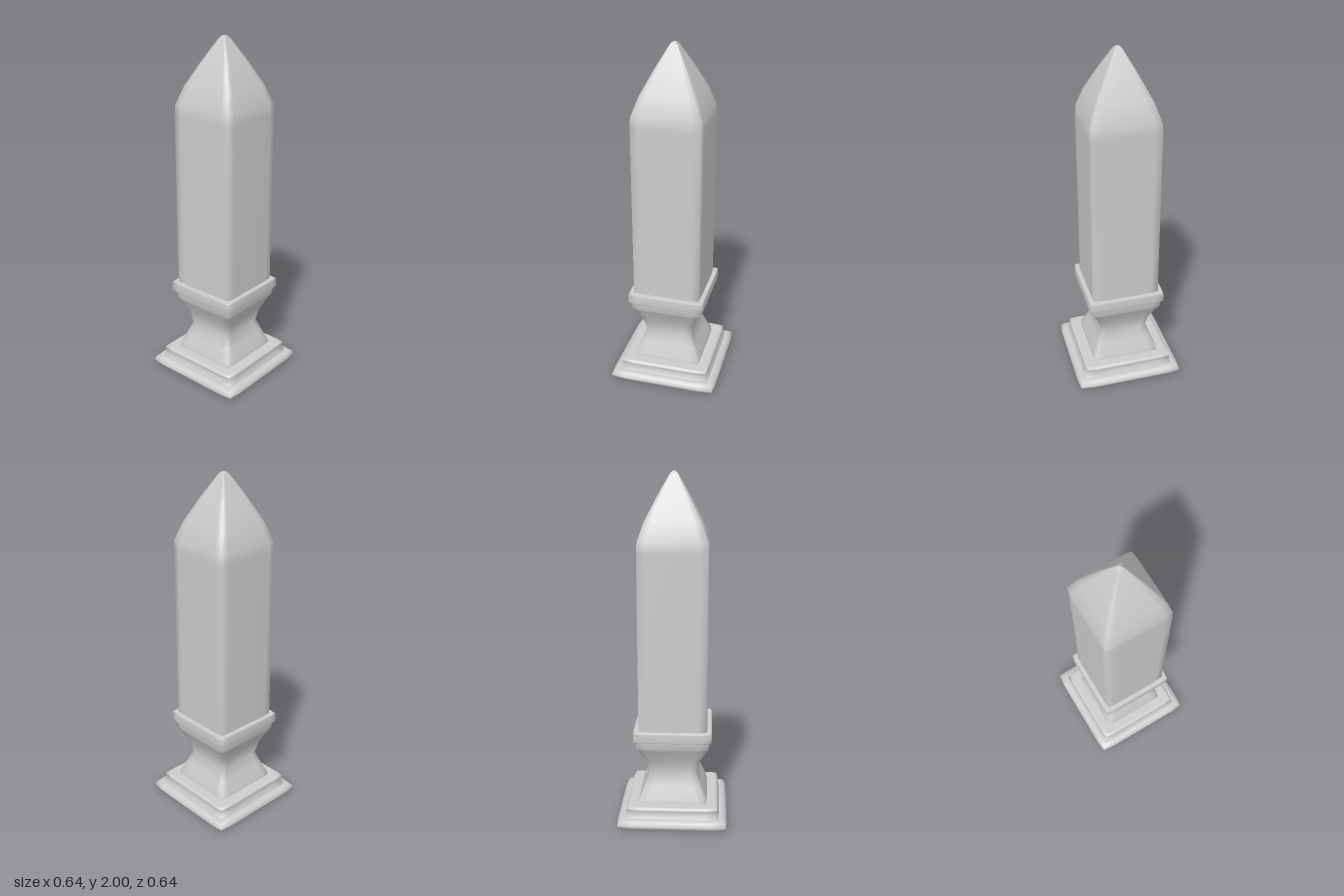
import * as THREE from 'three';

const material = new THREE.MeshStandardMaterial({ color: 0xcccccc });

// One side of a softly bowed square, turned four times to make the ring.
const SIDE = [[1, -0.75], [1, 0], [1, 0.75], [0.975, 0.975]];

function ring(w) {
  const pts = [];
  for (let q = 0; q < 4; q++) {
    const c = [1, 0, -1, 0][q], s = [0, 1, 0, -1][q];
    for (const [x, z] of SIDE) pts.push([(x * c - z * s) * w, (x * s + z * c) * w]);
  }
  return pts;
}

// Smooth skin through square rings given as [half width, height], bottom to top.
function loft(name, profile) {
  const n = SIDE.length * 4, pos = [], idx = [];
  const addRing = (w, y) => {
    const start = pos.length / 3;
    for (const [x, z] of ring(w)) pos.push(x, y, z);
    return start;
  };
  profile.forEach(([w, y]) => addRing(w, y));
  for (let r = 0; r < profile.length - 1; r++) {
    for (let i = 0; i < n; i++) {
      const a = r * n + i, b = r * n + (i + 1) % n;
      idx.push(a, a + n, b, b, a + n, b + n);
    }
  }
  // Flat end caps with their own vertices keep the rims sharp.
  for (const [[w, y], up] of [[profile[0], false], [profile[profile.length - 1], true]]) {
    const start = addRing(w, y), centre = pos.length / 3;
    pos.push(0, y, 0);
    for (let i = 0; i < n; i++) {
      const a = start + i, b = start + (i + 1) % n;
      idx.push(centre, up ? b : a, up ? a : b);
    }
  }
  const geometry = new THREE.BufferGeometry();
  geometry.setAttribute('position', new THREE.Float32BufferAttribute(pos, 3));
  geometry.setIndex(idx);
  geometry.computeVertexNormals();
  const mesh = new THREE.Mesh(geometry, material);
  mesh.name = name;
  return mesh;
}

export function createModel() {
  const group = new THREE.Group();
  group.name = 'obelisk';
  group.add(
    // Rounded foot slab and stepped moulding
    loft('footSlab', [[0.3, 0], [0.312, 0.012], [0.318, 0.027], [0.305, 0.045], [0.285, 0.053]]),
    loft('baseMoulding', [[0.275, 0.05], [0.272, 0.06], [0.258, 0.083], [0.266, 0.1], [0.262, 0.112], [0.25, 0.117]]),
    // Waisted pedestal
    loft('pedestal', [[0.2, 0.115], [0.195, 0.14], [0.165, 0.21], [0.139, 0.28], [0.157, 0.36], [0.198, 0.44], [0.21, 0.46], [0.213, 0.5]]),
    // Square collar below the shaft
    loft('collar', [[0.223, 0.5], [0.226, 0.508], [0.226, 0.552], [0.222, 0.56]]),
    // Straight shaft running softly into the pointed tip
    loft('shaft', [[0.198, 0.55], [0.198, 1.1], [0.198, 1.57], [0.195, 1.63], [0.157, 1.735], [0.09, 1.865], [0.022, 1.985], [0.011, 1.996], [0.003, 2]])
  );
  return group;
}
